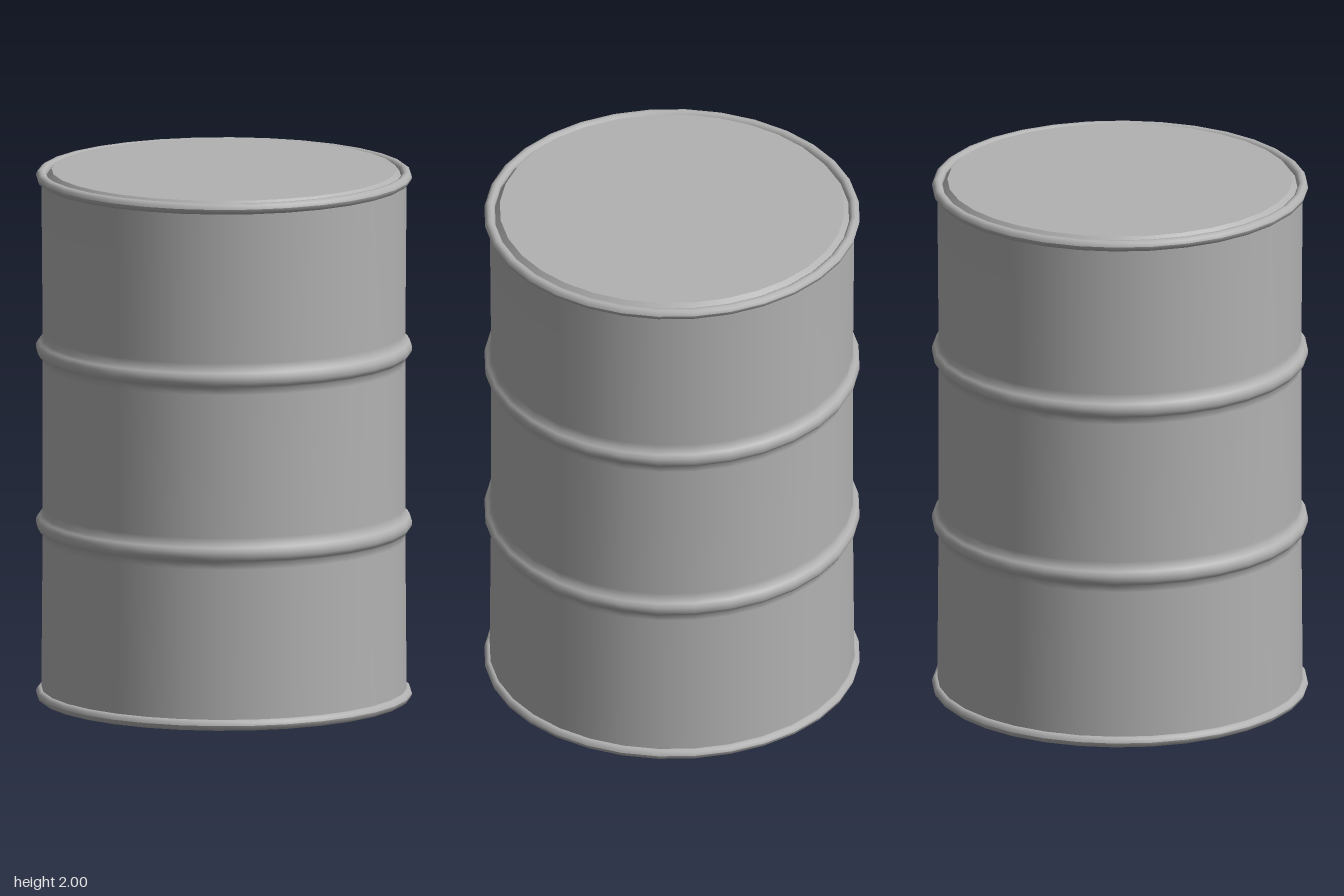
import * as THREE from 'three';

const SIDES = 32;

// Spins [radius, height] pairs, listed bottom to top, about the y axis
function lathe(name, profile, material) {
  const points = profile.map(([r, y]) => new THREE.Vector2(r, y));
  const mesh = new THREE.Mesh(new THREE.LatheGeometry(points, SIDES), material);
  mesh.name = name;
  return mesh;
}

export function createModel() {
  const group = new THREE.Group();
  group.name = 'drum';
  const steel = new THREE.MeshStandardMaterial({ color: 0xb2b2b2 });
  steel.name = 'grey steel';

  // Side wall with two rolled hoops
  const wall = [[0.68, 0.025]];
  for (const y of [0.67, 1.33]) {
    wall.push(
      [0.675, y - 0.06], [0.677, y - 0.035], [0.69, y - 0.025], [0.699, y - 0.01],
      [0.699, y + 0.01], [0.69, y + 0.025], [0.677, y + 0.035], [0.675, y + 0.06]
    );
  }
  wall.push([0.68, 1.975]);
  group.add(lathe('wall', wall, steel));

  // Rolled rims at both ends
  for (const [name, y] of [['bottomRim', 0.024], ['topRim', 1.976]]) {
    const ring = [];
    for (let i = 0; i <= 10; i++) {
      const a = (i / 10) * Math.PI * 2;
      ring.push([0.68 + 0.02 * Math.cos(a), y + 0.021 * Math.sin(a)]);
    }
    group.add(lathe(name, ring, steel));
  }

  // Raised end plates, each with a bevelled edge dropping to the groove
  group.add(lathe('bottomPlate', [[0, 0], [0.642, 0]], steel));
  group.add(lathe('bottomBevel', [[0.642, 0], [0.662, 0.025]], steel));
  group.add(lathe('topBevel', [[0.662, 1.975], [0.642, 2]], steel));
  group.add(lathe('topPlate', [[0.642, 2], [0, 2]], steel));

  return group;
}
